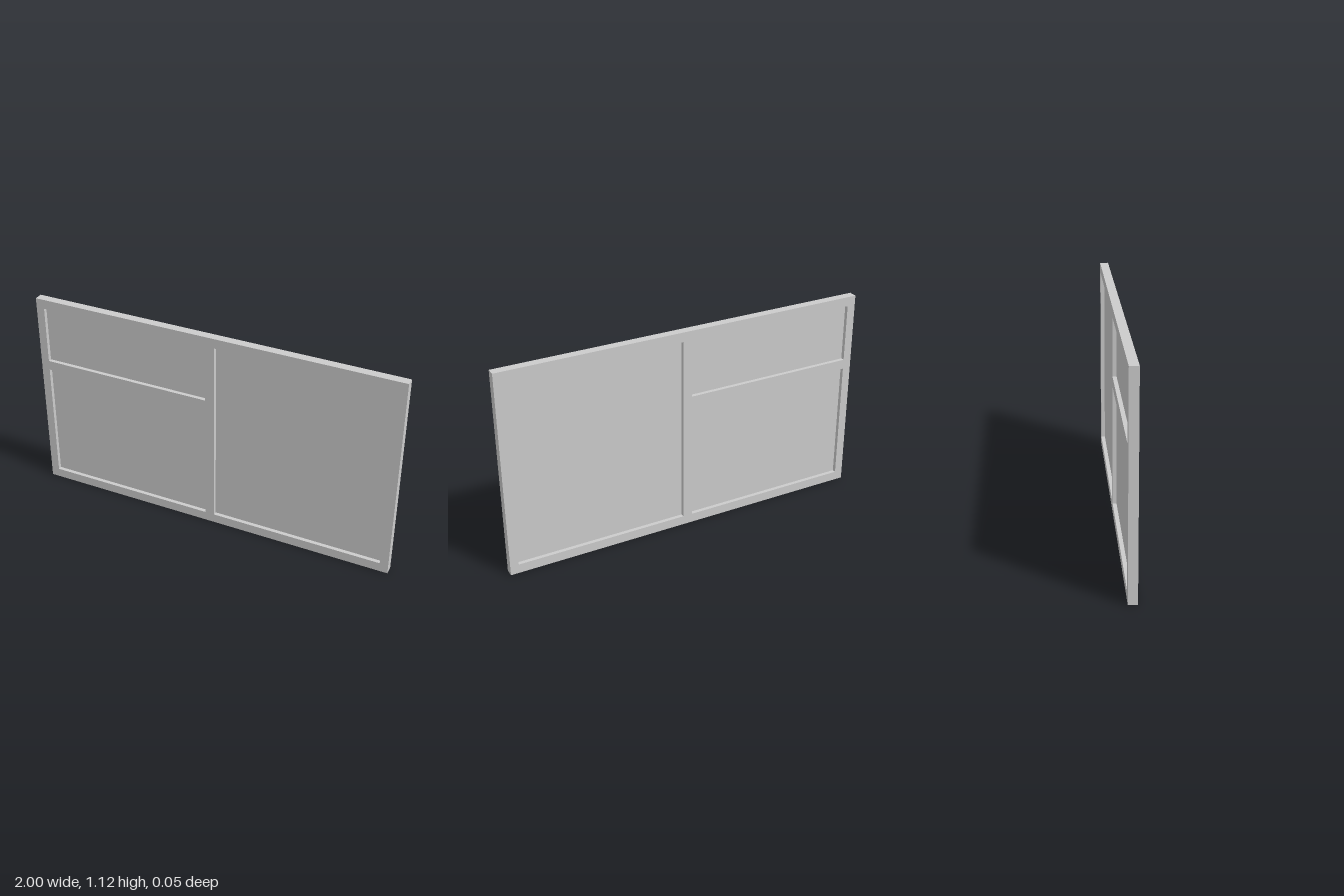
import * as THREE from 'three';

const HEIGHT = 1.117, DEPTH = 0.046, PANE_DEPTH = 0.004;

// Openings of the frame: [left, bottom, right, top], and the top of each pane
const OPENINGS = [
  { name: 'largePane', rect: [0.024, 0.05, 0.955, 1.066], paneTop: 1.056 },
  { name: 'lowerPane', rect: [-0.955, 0.05, -0.026, 0.702], paneTop: 0.702 },
  { name: 'upperPane', rect: [-0.955, 0.755, -0.026, 1.066], paneTop: 1.056 },
];

function rectangle(PathType, x0, y0, x1, y1) {
  const path = new PathType();
  path.moveTo(x0, y0);
  path.lineTo(x1, y0);
  path.lineTo(x1, y1);
  path.lineTo(x0, y1);
  path.closePath();
  return path;
}

export function createModel() {
  const group = new THREE.Group();
  group.name = 'window';
  const material = new THREE.MeshStandardMaterial({ color: 0xcccccc });

  // Frame with mullion and transom, cut from one slab
  const outline = rectangle(THREE.Shape, -1, 0, 1, HEIGHT);
  outline.holes = OPENINGS.map(({ rect }) => rectangle(THREE.Path, ...rect));
  const frameGeometry = new THREE.ExtrudeGeometry(outline, { depth: DEPTH, bevelEnabled: false });
  frameGeometry.translate(0, 0, -DEPTH / 2);
  const frame = new THREE.Mesh(frameGeometry, material);
  frame.name = 'frame';
  group.add(frame);

  // Thin panes set in the middle of the frame depth
  for (const { name, rect: [x0, y0, x1], paneTop } of OPENINGS) {
    const pane = new THREE.Mesh(new THREE.BoxGeometry(x1 - x0, paneTop - y0, PANE_DEPTH), material);
    pane.position.set((x0 + x1) / 2, (y0 + paneTop) / 2, 0);
    pane.name = name;
    group.add(pane);
  }
  return group;
}
